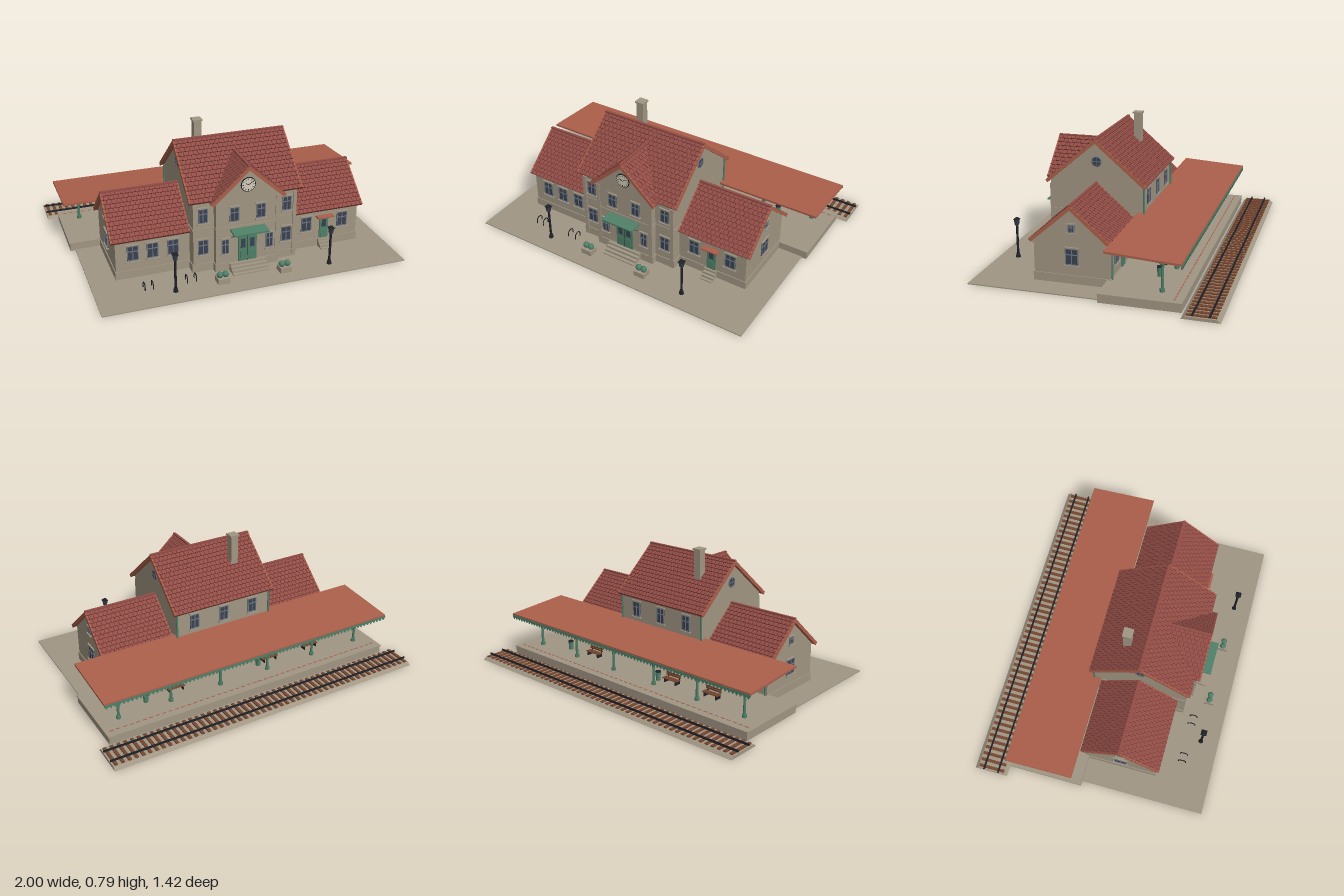
import * as THREE from 'three';
import { mergeGeometries } from 'three/addons/utils/BufferGeometryUtils.js';

const mat = (name, color) => {
  const m = new THREE.MeshStandardMaterial({ color });
  m.name = name;
  return m;
};
const M = {
  stone: mat('stone', 0xa19683), tile: mat('roofTile', 0x924c45), shade: mat('tileJoint', 0x5c302d),
  brick: mat('terracotta', 0xab5f4a), green: mat('green', 0x4f8068), iron: mat('iron', 0x1e2126),
  glass: mat('glass', 0x39424f), frame: mat('windowFrame', 0x707784), wood: mat('wood', 0x76462f),
  dial: mat('clockDial', 0xd3cbb8),
};

const group = (parent, name, x = 0, y = 0, z = 0, ry = 0) => {
  const g = new THREE.Group();
  g.name = name;
  g.position.set(x, y, z);
  g.rotation.y = ry;
  parent.add(g);
  return g;
};
const add = (parent, name, geo, m, x = 0, y = 0, z = 0) => {
  const mesh = new THREE.Mesh(geo, m);
  mesh.name = name;
  mesh.position.set(x, y, z);
  parent.add(mesh);
  return mesh;
};
// box centred on x and z, standing on y
const box = (p, name, m, w, h, d, x, y, z) => add(p, name, new THREE.BoxGeometry(w, h, d), m, x, y + h / 2, z);
const cyl = (p, name, m, r, h, x, y, z, r2 = r, n = 10) =>
  add(p, name, new THREE.CylinderGeometry(r2, r, h, n), m, x, y + h / 2, z);
// straight bar between two points
const bar = (p, name, m, a, b, r) => {
  const va = new THREE.Vector3(...a), vb = new THREE.Vector3(...b);
  return add(p, name, new THREE.TubeGeometry(new THREE.LineCurve3(va, vb), 1, r, 6), m);
};
const extrude = (pts, depth) => new THREE.ExtrudeGeometry(
  new THREE.Shape(pts.map(([x, y]) => new THREE.Vector2(x, y))), { depth, bevelEnabled: false });
// (z, y) section extruded along x
const prism = (pts, len) => extrude(pts, len).translate(0, 0, -len / 2).rotateY(-Math.PI / 2);

// pitched roof, ridge along local x, origin at the ridge
function roof(p, name, x, y, z, half, drop, len, ry = 0) {
  const g = group(p, name, x, y, z, ry);
  const angle = Math.atan2(drop, half), run = Math.hypot(half, drop);
  const rows = Math.round(run / 0.027), s = run / rows;
  const cols = Math.round(len / 0.028), w = len / cols;
  for (const ry2 of [0, Math.PI]) {
    const slope = group(group(g, 'roofSide', 0, 0, 0, ry2), 'slope');
    slope.rotation.x = angle;
    const tiles = [], joints = [];
    for (let i = 0; i < rows; i++) {
      const zc = (i + 0.5) * s;
      tiles.push(new THREE.BoxGeometry(len, 0.006, s).rotateX(-0.16).translate(0, -0.004, zc));
      joints.push(new THREE.BoxGeometry(len - 0.002, 0.0045, 0.002).translate(0, -0.002, zc + s / 2));
      for (let j = 0; j < cols; j++) {
        const xj = -len / 2 + (j + (i % 2 ? 0.5 : 1)) * w;
        if (xj < len / 2 - 0.002)
          joints.push(new THREE.BoxGeometry(0.0025, 0.002, s).rotateX(-0.16).translate(xj, -0.001, zc));
      }
    }
    add(slope, 'tileCourses', mergeGeometries(tiles), M.tile);
    add(slope, 'tileJoints', mergeGeometries(joints), M.shade);
    add(slope, 'roofDeck', new THREE.BoxGeometry(len - 0.004, 0.012, run), M.brick, 0, -0.012, run / 2);
    for (const e of [-1, 1])
      add(slope, 'rakeBoard', new THREE.BoxGeometry(0.008, 0.02, run), M.brick, e * (len / 2 - 0.003), -0.01, run / 2);
  }
  box(g, 'ridgeCap', M.tile, len, 0.01, 0.016, 0, -0.007, 0);
}

// window on a wall face: local +z points outward
function windowAt(p, x, y, w, h) {
  const g = group(p, 'window', x, y, 0);
  const t = 0.005;
  box(g, 'glassPane', M.glass, w, h, 0.006, 0, 0, 0.001);
  for (const s of [-1, 1]) box(g, 'frameSide', M.frame, t, h, 0.008, s * (w - t) / 2, 0, 0.003);
  for (const v of [0, h * 0.6, h - t]) box(g, 'frameRail', M.frame, w, t, 0.008, 0, v, 0.003);
  box(g, 'mullion', M.frame, t, h, 0.008, 0, 0, 0.003);
  box(g, 'sill', M.stone, w + 0.016, 0.007, 0.018, 0, -0.007, 0.005);
  box(g, 'lintel', M.stone, w + 0.012, 0.008, 0.012, 0, h, 0.003);
}
const windows = (face, list, y, w, h) => list.forEach(x => windowAt(face, x, y, w, h));

function door(p, x, y, w, h, leaves) {
  const g = group(p, 'door', x, y, 0);
  box(g, 'doorLeaf', M.green, w, h, 0.01, 0, 0, 0.002);
  const lw = w / leaves;
  for (let i = 0; i < leaves; i++) {
    const lx = -w / 2 + (i + 0.5) * lw;
    box(g, 'doorGlass', M.glass, lw * 0.5, h * 0.36, 0.004, lx, h * 0.55, 0.007);
    box(g, 'doorPanel', M.green, lw * 0.6, h * 0.32, 0.006, lx, h * 0.1, 0.007);
  }
  for (let i = 1; i < leaves; i++) box(g, 'doorGap', M.iron, 0.002, h, 0.004, 0, 0, 0.007);
}

function steps(p, x, z, w, top, depth, n) {
  for (let i = 0; i < n; i++) {
    const d = depth * (i + 1) / n;
    box(p, 'step', M.stone, w, top * (n - i) / n, d, x, 0, z + d / 2);
  }
}

export function createModel() {
  const root = new THREE.Group();
  root.name = 'railwayStation';
  const zc = 0.157;

  // ground, platform and track
  box(root, 'forecourt', M.stone, 1.81, 0.006, 0.77, 0, 0, 0.325);
  box(root, 'platform', M.stone, 1.87, 0.046, 0.45, 0, 0, -0.275);
  box(root, 'platformEdge', M.stone, 1.88, 0.008, 0.455, 0, 0.044, -0.275);
  for (let i = 0; i < 46; i++) box(root, 'safetyLine', M.brick, 0.024, 0.002, 0.007, -0.9 + i * 0.04, 0.0515, -0.455);
  add(root, 'trackBed', prism([[-0.715, 0], [-0.51, 0], [-0.53, 0.016], [-0.695, 0.016]], 2), M.stone);
  for (let i = 0; i < 50; i++) box(root, 'sleeper', M.wood, 0.018, 0.009, 0.16, -0.98 + i * 0.04, 0.014, -0.612);
  for (const z of [-0.567, -0.657]) {
    box(root, 'railFoot', M.iron, 2, 0.003, 0.011, 0, 0.023, z);
    box(root, 'railHead', M.iron, 2, 0.008, 0.005, 0, 0.025, z);
  }

  // main block, front gable bay and wings
  const pentagon = (c, h, eave, peak) => [[c - h, 0], [c + h, 0], [c + h, eave], [c, peak], [c - h, eave]];
  add(root, 'mainBlock', prism(pentagon(zc, 0.282, 0.455, 0.698), 0.63), M.stone);
  add(root, 'frontBay', extrude(pentagon(0, 0.19, 0.455, 0.63), 0.275).translate(0, 0, 0.2), M.stone);
  roof(root, 'mainRoof', 0, 0.72, zc, 0.308, 0.263, 0.68);
  roof(root, 'bayRoof', 0, 0.652, 0.365, 0.225, 0.205, 0.27, Math.PI / 2);
  box(root, 'mainPlinth', M.stone, 0.64, 0.055, 0.574, 0, 0, zc);
  box(root, 'bayPlinth', M.stone, 0.39, 0.055, 0.1, 0, 0, 0.43);
  box(root, 'stringCourse', M.stone, 0.638, 0.008, 0.572, 0, 0.275, zc);
  box(root, 'bayStringCourse', M.stone, 0.388, 0.008, 0.1, 0, 0.275, 0.429);
  for (const s of [-1, 1]) {
    add(root, 'wing', prism(pentagon(0.155, 0.22, 0.245, 0.438), 0.45).translate(s * 0.525, 0, 0), M.stone);
    roof(root, 'wingRoof', s * 0.545, 0.46, 0.155, 0.242, 0.21, 0.46);
    box(root, 'wingPlinth', M.stone, 0.45, 0.055, 0.45, s * 0.53, 0, 0.155);
    box(root, 'cornerPilaster', M.stone, 0.022, 0.43, 0.012, s * 0.304, 0, 0.44);
    box(root, 'bayPilaster', M.stone, 0.02, 0.44, 0.012, s * 0.181, 0, 0.473);
    cyl(root, 'downpipe', M.green, 0.006, 0.4, s * 0.318, 0.05, -0.13);
    cyl(root, 'wingDownpipe', M.green, 0.005, 0.2, s * 0.74, 0.05, -0.072);
  }
  box(root, 'chimney', M.stone, 0.046, 0.21, 0.046, -0.16, 0.57, 0.04);
  box(root, 'chimneyCap', M.stone, 0.058, 0.01, 0.058, -0.16, 0.778, 0.04);

  // windows by wall face
  const bay = group(root, 'bayFront', 0, 0, 0.475);
  windows(bay, [-0.135, 0.135], 0.115, 0.045, 0.095);
  windows(bay, [-0.08, 0.08], 0.315, 0.055, 0.09);
  const front = group(root, 'mainFront', 0, 0, 0.439);
  windows(front, [-0.255, 0.255], 0.115, 0.062, 0.095);
  windows(front, [-0.255, 0.255], 0.315, 0.055, 0.09);
  const wingFront = group(root, 'wingFront', 0, 0, 0.375);
  windows(wingFront, [-0.65, -0.535, -0.415, 0.415, 0.65], 0.115, 0.066, 0.095);
  const back = group(root, 'mainBack', 0, 0, -0.125, Math.PI);
  windows(back, [-0.2, 0, 0.2], 0.325, 0.058, 0.095);
  windows(back, [-0.24, -0.13, 0.13, 0.24], 0.115, 0.06, 0.095);
  door(back, 0, 0.052, 0.1, 0.16, 2);
  const wingBack = group(root, 'wingBack', 0, 0, -0.065, Math.PI);
  windows(wingBack, [-0.65, -0.415, 0.415, 0.65], 0.115, 0.066, 0.095);
  for (const x of [-0.53, 0.53]) door(wingBack, x, 0.052, 0.058, 0.15, 1);
  for (const s of [-1, 1]) {
    const end = group(root, 'wingEnd', s * 0.75, 0, 0.155, s * Math.PI / 2);
    windowAt(end, 0, 0.115, 0.076, 0.095);
    windowAt(end, 0, 0.302, 0.038, 0.045);
    const eye = group(root, 'roundWindow', s * 0.315, 0.583, 0.155, s * Math.PI / 2);
    add(eye, 'roundGlass', new THREE.CylinderGeometry(0.028, 0.028, 0.006, 20).rotateX(Math.PI / 2), M.glass);
    add(eye, 'roundFrame', new THREE.TorusGeometry(0.028, 0.004, 6, 20), M.frame);
    box(eye, 'crossUpright', M.frame, 0.004, 0.054, 0.008, 0, -0.027, 0.001);
    box(eye, 'crossBar', M.frame, 0.054, 0.004, 0.008, 0, -0.002, 0.001);
  }

  // main entrance with canopy
  door(bay, 0, 0.055, 0.112, 0.155, 2);
  box(bay, 'fanlight', M.glass, 0.14, 0.03, 0.008, 0, 0.218, 0.002);
  const hood = box(root, 'entranceCanopy', M.green, 0.21, 0.009, 0.078, 0, 0.256, 0.514);
  hood.rotation.x = 0.08;
  for (const s of [-1, 1]) bar(root, 'canopyBracket', M.green, [s * 0.095, 0.215, 0.475], [s * 0.095, 0.257, 0.54], 0.003);
  steps(root, 0, 0.475, 0.22, 0.052, 0.08, 4);
  // wing door with small hood
  door(wingFront, 0.53, 0.056, 0.056, 0.135, 1);
  box(root, 'doorHood', M.brick, 0.106, 0.007, 0.04, 0.53, 0.2, 0.393);
  steps(root, 0.53, 0.375, 0.075, 0.052, 0.065, 4);

  // gable clock
  const clock = group(root, 'clock', 0, 0.533, 0.478);
  add(clock, 'clockDial', new THREE.CylinderGeometry(0.04, 0.04, 0.008, 28).rotateX(Math.PI / 2), M.dial);
  add(clock, 'clockRim', new THREE.TorusGeometry(0.041, 0.004, 6, 28), M.iron);
  for (let i = 0; i < 12; i++) {
    const a = i * Math.PI / 6;
    add(clock, 'hourMark', new THREE.BoxGeometry(0.003, 0.008, 0.003), M.iron,
      Math.sin(a) * 0.032, Math.cos(a) * 0.032, 0.004).rotation.z = -a;
  }
  bar(clock, 'hourHand', M.iron, [0, 0, 0.006], [-0.017, 0.01, 0.006], 0.002);
  bar(clock, 'minuteHand', M.iron, [0, 0, 0.006], [0.024, 0.015, 0.006], 0.0015);

  // platform canopy, columns and valance
  add(root, 'platformCanopy', prism([[-0.5, 0.258], [-0.09, 0.284], [-0.09, 0.296], [-0.5, 0.27]], 1.9), M.brick);
  for (const z of [-0.2, -0.37]) box(root, 'canopyBeam', M.green, 1.86, 0.011, 0.011, 0, z === -0.2 ? 0.267 : 0.256, z);
  box(root, 'valance', M.green, 1.9, 0.012, 0.005, 0, 0.25, -0.5);
  for (let i = 0; i < 76; i++)
    add(root, 'valanceTooth', extrude([[-0.0105, 0], [0, -0.015], [0.0105, 0]], 0.005), M.green, -0.9375 + i * 0.025, 0.25, -0.5025);
  for (let i = 0; i < 6; i++) {
    const c = group(root, 'platformColumn', -0.82 + i * 0.328, 0.05, -0.37);
    cyl(c, 'columnBase', M.green, 0.014, 0.02, 0, 0, 0);
    cyl(c, 'columnShaft', M.green, 0.008, 0.21, 0, 0, 0);
    cyl(c, 'columnCapital', M.green, 0.009, 0.016, 0, 0.145, 0, 0.015);
    for (const s of [-1, 1]) {
      bar(c, 'acrossBracket', M.green, [0, 0.15, 0], [0, 0.212, s * 0.075], 0.004);
      bar(c, 'alongBracket', M.green, [0, 0.15, 0], [s * 0.06, 0.21, 0], 0.004);
    }
  }

  // benches and bins on the platform
  for (const x of [0.42, -0.23, -0.53]) {
    const b = group(root, 'bench', x, 0.052, -0.29);
    for (const z of [-0.013, 0, 0.013]) box(b, 'seatSlat', M.wood, 0.11, 0.004, 0.011, 0, 0.024, z);
    for (const y of [0.035, 0.047]) box(b, 'backSlat', M.wood, 0.11, 0.009, 0.004, 0, y, 0.02);
    for (const s of [-1, 1]) {
      box(b, 'benchLeg', M.iron, 0.005, 0.024, 0.034, s * 0.042, 0, 0);
      box(b, 'backPost', M.iron, 0.005, 0.056, 0.004, s * 0.042, 0, 0.023);
    }
  }
  for (const x of [0.62, -0.14]) {
    cyl(root, 'bin', M.green, 0.014, 0.052, x, 0.052, -0.305, 0.016, 12);
    cyl(root, 'binLid', M.iron, 0.018, 0.006, x, 0.104, -0.305, 0.016, 12);
  }

  // street lamps and planters
  for (const s of [-1, 1]) {
    const l = group(root, 'streetLamp', s * 0.467, 0.005, 0.6);
    cyl(l, 'lampBase', M.iron, 0.015, 0.025, 0, 0, 0, 0.01);
    cyl(l, 'lampPost', M.iron, 0.007, 0.2, 0, 0, 0);
    cyl(l, 'lantern', M.glass, 0.013, 0.036, 0, 0.2, 0, 0.019, 4).rotation.y = Math.PI / 4;
    cyl(l, 'lanternRoof', M.iron, 0.025, 0.013, 0, 0.235, 0, 0.006, 4).rotation.y = Math.PI / 4;
    const p = group(root, 'planter', s * 0.188, 0.005, 0.588);
    box(p, 'planterBox', M.stone, 0.07, 0.034, 0.06, 0, 0, 0);
    for (const e of [-1, 1]) add(p, 'shrub', new THREE.SphereGeometry(0.019, 12, 8), M.green, e * 0.017, 0.048, 0);
  }
  // bicycle stands
  for (const x of [-0.625, -0.578, -0.38, -0.327]) {
    const path = new THREE.CatmullRomCurve3([[0.495, 0], [0.495, 0.03], [0.503, 0.042], [0.517, 0.046],
      [0.531, 0.042], [0.539, 0.03], [0.539, 0]].map(([z, y]) => new THREE.Vector3(x, y, z)));
    add(root, 'bicycleStand', new THREE.TubeGeometry(path, 20, 0.003, 6), M.iron);
  }
  return root;
}
